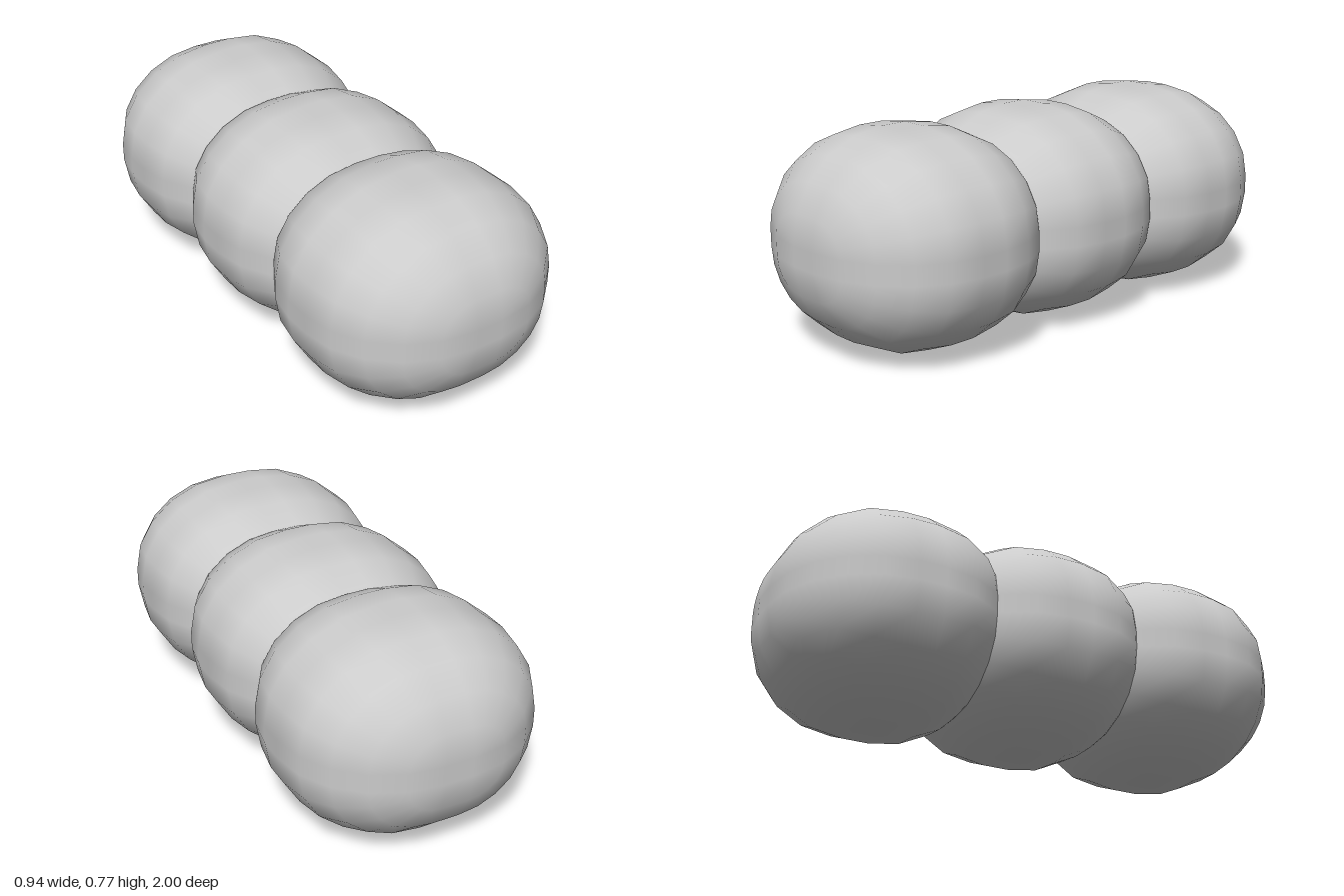
import * as THREE from 'three';

const CORE = [0.05, 0.035, 0.05];   // half size of the small flat box inside a lobe
const ROUND = [0.42, 0.35, 0.38];   // rounding radius along x, y, z
const SEG = 5;                      // segments per rounded quarter
const SPACING = 0.57;

// Rounded lobe: an ellipsoid cut into octants, pushed apart by CORE.
function lobeGeometry() {
  const around = [];                // direction and octant signs around the z axis
  for (let q = 0; q < 4; q++) {
    for (let k = 0; k <= SEG; k++) {
      const t = (q + k / SEG) * Math.PI / 2;
      around.push({ c: Math.cos(t), s: Math.sin(t), sx: q === 0 || q === 3 ? 1 : -1, sy: q < 2 ? 1 : -1 });
    }
  }
  const rings = [{ phi: 0, sz: 1, flat: 0 }];           // centre of the front patch
  for (const h of [0, 1]) {
    for (let k = 0; k <= SEG; k++) rings.push({ phi: (h + k / SEG) * Math.PI / 2, sz: 1 - 2 * h, flat: 1 });
  }
  rings.push({ phi: Math.PI, sz: -1, flat: 0 });        // centre of the back patch

  const pos = [], nor = [], idx = [];
  for (const { phi, sz, flat } of rings) {
    for (const a of around) {
      const d = [Math.sin(phi) * a.c, Math.sin(phi) * a.s, Math.cos(phi)];
      const sign = [a.sx * flat, a.sy * flat, sz];
      pos.push(...d.map((v, i) => v * ROUND[i] + sign[i] * CORE[i]));
      nor.push(...new THREE.Vector3(...d.map((v, i) => v / ROUND[i])).normalize().toArray());
    }
  }
  const n = around.length;
  for (let i = 0; i < rings.length - 1; i++) {
    for (let j = 0; j < n; j++) {
      const a = i * n + j, d = i * n + (j + 1) % n;
      idx.push(a, a + n, d + n, a, d + n, d);
    }
  }
  const geo = new THREE.BufferGeometry();
  geo.setAttribute('position', new THREE.Float32BufferAttribute(pos, 3));
  geo.setAttribute('normal', new THREE.Float32BufferAttribute(nor, 3));
  geo.setIndex(idx);
  return geo;
}

export function createModel() {
  const group = new THREE.Group();
  const geo = lobeGeometry();
  const material = new THREE.MeshStandardMaterial({ color: 0xcccccc });
  // Three overlapping lobes in a row along z
  ['backLobe', 'middleLobe', 'frontLobe'].forEach((name, i) => {
    const lobe = new THREE.Mesh(geo, material);
    lobe.name = name;
    lobe.position.set(0, CORE[1] + ROUND[1], (i - 1) * SPACING);
    group.add(lobe);
  });
  return group;
}
